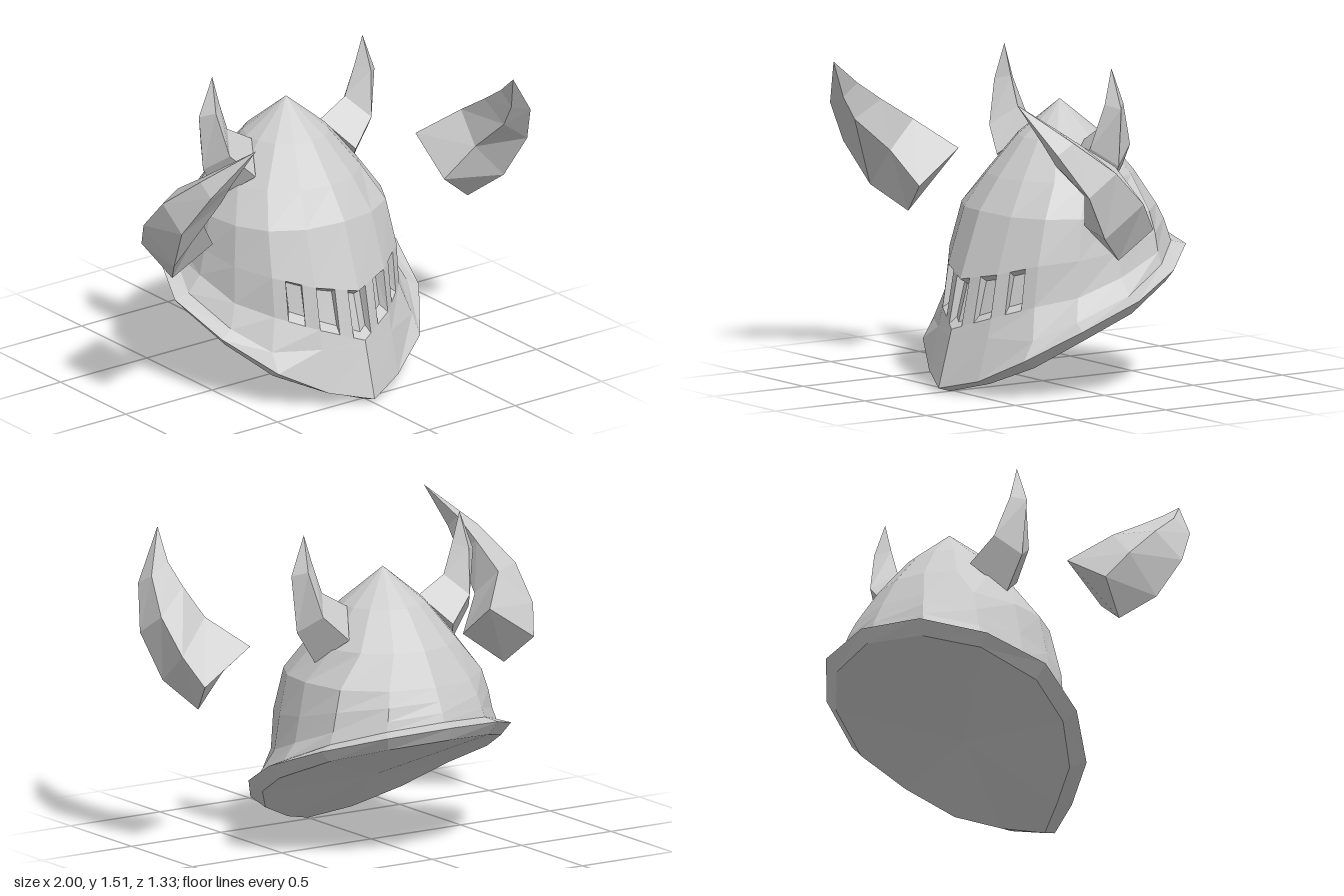
import * as THREE from 'three';

const material = new THREE.MeshStandardMaterial({ color: 0xcccccc, flatShading: true });

// Mesh from a list of four-cornered or three-cornered faces.
function facetedMesh(faces, name) {
  const pos = [];
  for (const f of faces) {
    for (let i = 1; i < f.length - 1; i++) pos.push(...f[0], ...f[i], ...f[i + 1]);
  }
  const geo = new THREE.BufferGeometry();
  geo.setAttribute('position', new THREE.Float32BufferAttribute(pos, 3));
  geo.computeVertexNormals();
  const mesh = new THREE.Mesh(geo, material);
  mesh.name = name;
  return mesh;
}

const flip = ([x, y, z]) => [-x, y, z];
const mirrorFaces = (faces) => faces.map((f) => f.map(flip).reverse());
const lerp = (a, b, t) => a.map((v, i) => v + (b[i] - v) * t);

// Half ring of a round dome, front to back along the left side.
const domeRing = (y, r) => Array.from({ length: 8 }, (_, k) => {
  const a = (k / 7) * Math.PI;
  return [r * Math.sin(a), y, -0.095 + r * Math.cos(a)];
});

// Faces between two half rings, from column k0 onwards.
function band(lower, upper, k0 = 0) {
  const faces = [];
  for (let k = k0; k < 7; k++) faces.push([lower[k], lower[k + 1], upper[k + 1], upper[k]]);
  return faces;
}

// Half rings of the helmet, each from the front keel (k = 0) to the back (k = 7).
const brimBottom = [[0, 0, 0.52], [0.18, 0.05, 0.42], [0.38, 0.14, 0.31], [0.52, 0.27, 0.13],
  [0.58, 0.385, -0.1], [0.48, 0.5, -0.36], [0.28, 0.565, -0.55], [0, 0.59, -0.63]];
const brimEdge = [[0, 0.02, 0.585], [0.2, 0.07, 0.5], [0.41, 0.18, 0.39], [0.57, 0.32, 0.17],
  [0.64, 0.45, -0.1], [0.53, 0.555, -0.37], [0.31, 0.63, -0.59], [0, 0.655, -0.665]];
const brimInner = [[0, 0.25, 0.523], [0.2, 0.27, 0.448], [0.405, 0.27, 0.335], [0.51, 0.355, 0.16],
  [0.56, 0.465, -0.1], [0.465, 0.575, -0.345], [0.275, 0.645, -0.53], [0, 0.67, -0.6]];
const slotBottom = [[0, 0.29, 0.512], [0.2, 0.36, 0.425], [0.36, 0.42, 0.295], [0.46, 0.46, 0.12],
  [0.495, 0.54, -0.1], [0.445, 0.63, -0.34], [0.262, 0.69, -0.522], [0, 0.71, -0.585]];
const slotTop = [[0, 0.52, 0.463], [0.2, 0.56, 0.393], [0.36, 0.61, 0.275], [0.445, 0.63, 0.1],
  [0.47, 0.66, -0.1], [0.425, 0.72, -0.337], [0.247, 0.75, -0.508], [0, 0.76, -0.56]];
const shoulder = [[0, 0.83, 0.355], [0.19, 0.82, 0.31], [0.34, 0.82, 0.22], [0.42, 0.82, 0.075],
  [0.438, 0.82, -0.1], [0.395, 0.82, -0.325], [0.225, 0.82, -0.48], [0, 0.82, -0.53]];

// Front plate with the eye slots cut in as tapering recesses.
function visorFaces() {
  const faces = [];
  const slots = [[0, 0.05], [0.11, 0.195], [0.25, 0.31]];
  const stops = [0, 0.05, 0.11, 0.195, 0.2, 0.25, 0.31, 0.36];
  const at = (ring, x) => (x <= 0.2
    ? lerp(ring[0], ring[1], x / 0.2)
    : lerp(ring[1], ring[2], (x - 0.2) / 0.16));
  for (let i = 0; i < stops.length - 1; i++) {
    const [x0, x1] = [stops[i], stops[i + 1]];
    const loop = [at(slotBottom, x0), at(slotBottom, x1), at(slotTop, x1), at(slotTop, x0)];
    if (!slots.some((s) => s[0] === x0)) {
      faces.push(loop);
      continue;
    }
    const back = loop.map(([x, y, z], c) => [x * 0.9, y + (c < 2 ? 0.03 : -0.025), z - 0.04]);
    faces.push(back);
    for (let e = 0; e < 4; e++) {
      if (x0 === 0 && e === 3) continue; // the middle slot crosses the keel
      const n = (e + 1) % 4;
      faces.push([loop[e], loop[n], back[n], back[e]]);
    }
  }
  return faces;
}

function makeHelmet() {
  const crownLow = domeRing(0.975, 0.345);
  const crownHigh = domeRing(1.15, 0.2);
  const apex = [0, 1.315, -0.095];
  const floor = [0, 0.3, 0];
  const parts = {
    brim: [...band(brimBottom, brimEdge), ...band(brimEdge, brimInner)],
    visor: visorFaces(),
    dome: [...band(brimInner, slotBottom), ...band(slotBottom, slotTop, 2), ...band(slotTop, shoulder),
      ...band(shoulder, crownLow), ...band(crownLow, crownHigh)],
    underside: [],
  };
  for (let k = 0; k < 7; k++) {
    parts.dome.push([crownHigh[k], crownHigh[k + 1], apex]);
    parts.underside.push([brimBottom[k + 1], brimBottom[k], floor]);
  }
  const group = new THREE.Group();
  group.name = 'helmet';
  for (const [name, half] of Object.entries(parts)) {
    group.add(facetedMesh([...half, ...mirrorFaces(half)], name));
  }
  return group;
}

// Faces of a horn: four-cornered rings, a tip and a base cap, wound outwards.
function hornFaces(rings, tip) {
  const faces = [];
  const last = rings[rings.length - 1];
  for (let k = 0; k < 4; k++) {
    const m = (k + 1) % 4;
    for (let r = 0; r < rings.length - 1; r++) {
      faces.push([rings[r][k], rings[r][m], rings[r + 1][m], rings[r + 1][k]]);
    }
    faces.push([last[k], last[m], tip]);
  }
  faces.push([...rings[0]].reverse());
  return faces;
}

// Diamond with its inner corner at a, outer corner at b and half width w along z.
function diamond([ax, ay], [bx, by], z, w) {
  const [x, y] = [(ax + bx) / 2, (ay + by) / 2];
  return [[ax, ay, z], [x, y, z + w], [bx, by, z], [x, y, z - w]];
}

export function createModel() {
  const model = new THREE.Group();
  model.name = 'hornedHelmet';
  model.add(makeHelmet());

  // Small horns rising from the dome
  const crownHorn = hornFaces([
    diamond([0.2, 1.15], [0.38, 0.905], -0.095, 0.152),
    diamond([0.34, 1.23], [0.48, 1.06], -0.095, 0.112),
    diamond([0.39, 1.37], [0.508, 1.33], -0.09, 0.052),
  ], [0.435, 1.515, -0.085]);

  // Large horns hovering beside the helmet, curving forward and inward
  const sideHorn = hornFaces([
    [[0.67, 1.0, 0.01], [0.67, 0.84, 0.23], [0.855, 0.695, 0.165], [0.92, 0.835, 0.015]],
    [[0.82, 1.13, 0.16], [0.79, 1.0, 0.31], [0.955, 0.82, 0.31], [0.98, 0.97, 0.11]],
    [[0.82, 1.24, 0.34], [0.82, 1.16, 0.49], [1.0, 1.03, 0.43], [0.99, 1.13, 0.27]],
    [[0.81, 1.33, 0.48], [0.81, 1.27, 0.56], [0.925, 1.23, 0.555], [0.915, 1.28, 0.46]],
  ], [0.745, 1.455, 0.66]);

  for (const [name, faces] of [['CrownHorn', crownHorn], ['SideHorn', sideHorn]]) {
    model.add(facetedMesh(faces, 'left' + name));
    model.add(facetedMesh(mirrorFaces(faces), 'right' + name));
  }
  return model;
}
